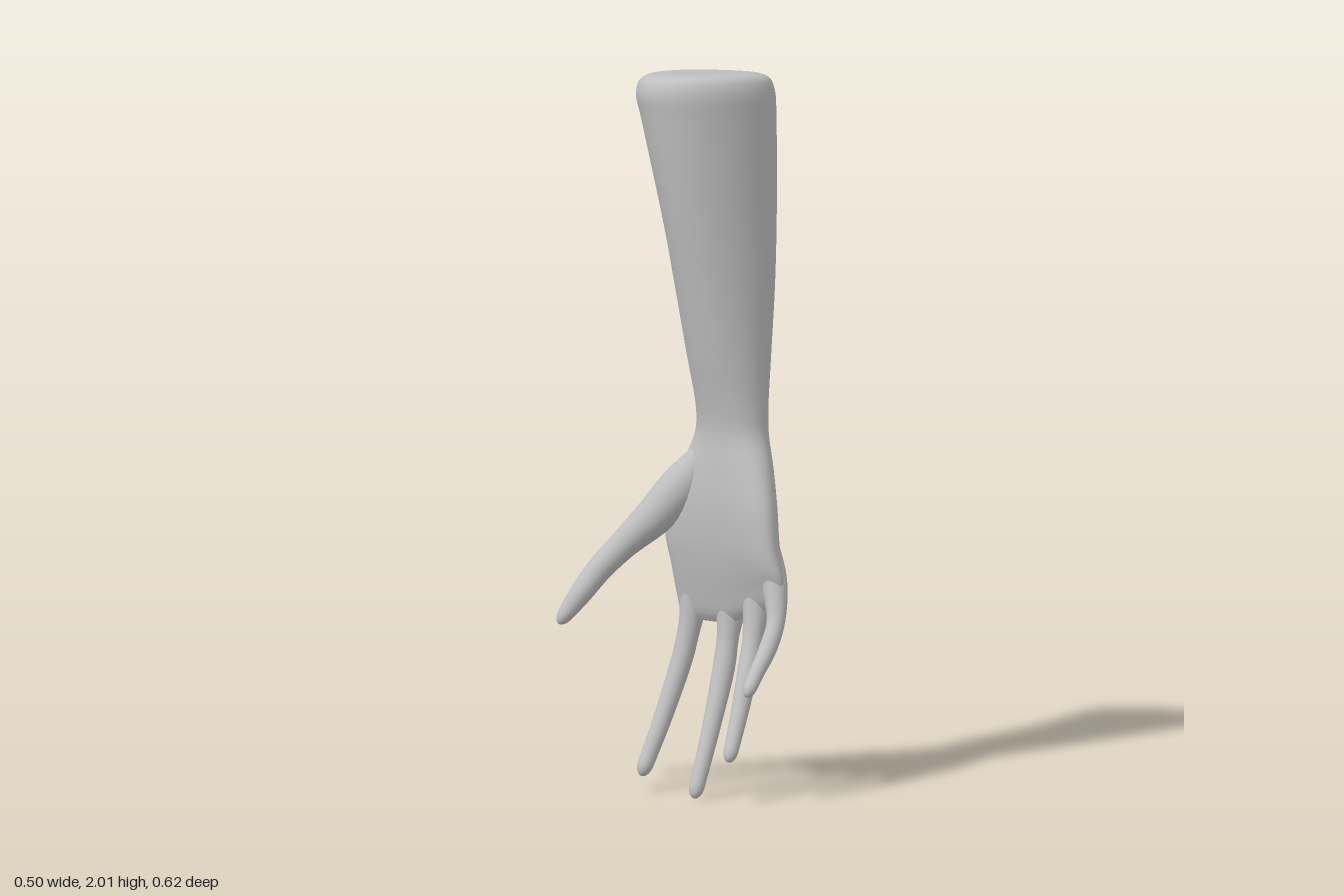
import * as THREE from 'three';

const SIDES = 40;
const V = (x, y, z) => new THREE.Vector3(x, y, z);

// Skin a list of rings (each an array of points) and close both ends
function loft(rings) {
  const n = rings[0].length, pos = [], idx = [];
  rings.forEach(r => r.forEach(p => pos.push(p.x, p.y, p.z)));
  for (let i = 0; i < rings.length - 1; i++) {
    for (let j = 0; j < n; j++) {
      const a = i * n + j, b = i * n + (j + 1) % n;
      idx.push(a, b, a + n, b, b + n, a + n);
    }
  }
  [0, rings.length - 1].forEach((ri, end) => {
    const c = rings[ri].reduce((s, p) => s.add(p), V(0, 0, 0)).divideScalar(n);
    const ci = pos.length / 3;
    pos.push(c.x, c.y, c.z);
    for (let j = 0; j < n; j++) {
      const a = ri * n + j, b = ri * n + (j + 1) % n;
      if (end) idx.push(a, b, ci); else idx.push(b, a, ci);
    }
  });
  const g = new THREE.BufferGeometry();
  g.setAttribute('position', new THREE.Float32BufferAttribute(pos, 3));
  g.setIndex(idx);
  g.computeVertexNormals();
  return g;
}

// Forearm and palm: sections [y, xMin, xMax, zMin, zMax, arch]
function armGeometry() {
  const sections = [
    [1.992, -0.02, 0.15, -0.14, 0.06, 0.02],
    [1.988, -0.09, 0.21, -0.195, 0.115, 0.035],
    [1.972, -0.12, 0.24, -0.218, 0.14, 0.04],
    [1.935, -0.133, 0.254, -0.226, 0.152, 0.04],
    [1.87, -0.127, 0.254, -0.21, 0.154, 0.04],
    [1.6, -0.088, 0.241, -0.148, 0.157, 0.03],
    [1.4, -0.054, 0.222, -0.115, 0.16, 0.02],
    [1.2, -0.02, 0.195, -0.082, 0.16, 0.01],
    [1.06, 0.007, 0.176, -0.058, 0.162, 0],
    [0.99, 0.012, 0.171, -0.06, 0.17, -0.005],
    [0.9, 0.0, 0.168, -0.09, 0.205, -0.02],
    [0.8, -0.01, 0.162, -0.128, 0.238, -0.035],
    [0.7, -0.008, 0.15, -0.13, 0.257, -0.04],
    [0.62, 0.002, 0.133, -0.113, 0.272, -0.035],
    [0.54, 0.018, 0.117, -0.1, 0.278, -0.03],
    [0.49, 0.03, 0.105, -0.09, 0.272, -0.025],
    [0.465, 0.045, 0.09, -0.07, 0.255, -0.02],
  ];
  const lo = new THREE.CatmullRomCurve3(sections.map(s => V(s[1], s[0], s[3])));
  const hi = new THREE.CatmullRomCurve3(sections.map(s => V(s[2], s[0], s[4])));
  const arch = new THREE.CatmullRomCurve3(sections.map(s => V(s[5], s[0], 0)));
  const rings = [], steps = (sections.length - 1) * 5;
  for (let i = 0; i <= steps; i++) {
    const t = i / steps, a = lo.getPoint(t), b = hi.getPoint(t), e = arch.getPoint(t).x;
    const top = THREE.MathUtils.smoothstep(a.y, 1.7, 1.95);
    const knuckles = 1 - THREE.MathUtils.smoothstep(a.y, 0.48, 0.68);
    const ring = [];
    for (let j = 0; j < SIDES; j++) {
      const th = j / SIDES * Math.PI * 2, c = Math.cos(th), s = Math.sin(th);
      const x = (a.x + b.x) / 2 + (b.x - a.x) / 2 * c + e * s * s;
      const z = (a.z + b.z) / 2 + (b.z - a.z) / 2 * s;
      // slanted cut at the top, knuckle line rising toward the little finger
      const y = a.y + top * 0.075 * ((z + 0.04) - (x - 0.06))
        + knuckles * 0.4 * Math.max(0, z - 0.08);
      ring.push(V(x, y, z));
    }
    rings.push(ring);
  }
  return loft(rings);
}

// Round-tipped digit through points [x, y, z, radius]
function digitGeometry(pts) {
  const path = new THREE.CatmullRomCurve3(pts.map(p => V(p[0], p[1], p[2])));
  const radii = new THREE.SplineCurve(pts.map((p, i) => new THREE.Vector2(i, p[3])));
  const len = path.getLength(), steps = 36, rings = [];
  for (let i = 0; i <= steps; i++) {
    const s = i / steps, u = 1 - (1 - s) ** 2;
    const t = path.getUtoTmapping(u), p = path.getPoint(t), T = path.getTangent(t);
    const r0 = radii.getPoint(t).y;
    const k = Math.max(0, 1 - (1 - u) * len / (1.7 * r0));
    const r = Math.max(0.001, r0 * Math.sqrt(1 - k * k));
    const e1 = T.clone().cross(V(0, 0, 1)).normalize(), e2 = T.clone().cross(e1);
    const ring = [];
    for (let j = 0; j < 24; j++) {
      const th = j / 24 * Math.PI * 2;
      ring.push(p.clone().addScaledVector(e1, r * Math.cos(th)).addScaledVector(e2, r * Math.sin(th)));
    }
    rings.push(ring);
  }
  return loft(rings);
}

const DIGITS = {
  littleFinger: [
    [0.06, 0.72, 0.2, 0.03], [0.05, 0.6, 0.238, 0.036], [0.015, 0.495, 0.273, 0.026],
    [-0.03, 0.425, 0.282, 0.025], [-0.085, 0.365, 0.288, 0.021], [-0.137, 0.305, 0.294, 0.018]],
  ringFinger: [
    [0.08, 0.7, 0.14, 0.035], [0.065, 0.56, 0.164, 0.041], [0.03, 0.44, 0.178, 0.029],
    [-0.005, 0.355, 0.19, 0.029], [-0.07, 0.23, 0.21, 0.024], [-0.135, 0.115, 0.228, 0.02]],
  middleFinger: [
    [0.085, 0.68, 0.06, 0.035], [0.073, 0.53, 0.066, 0.044], [0.05, 0.43, 0.072, 0.031],
    [0.025, 0.345, 0.078, 0.031], [-0.05, 0.17, 0.09, 0.025], [-0.13, 0.0, 0.1, 0.021]],
  indexFinger: [
    [0.08, 0.7, -0.03, 0.035], [0.065, 0.55, -0.052, 0.045], [0.045, 0.45, -0.06, 0.032],
    [0.025, 0.36, -0.07, 0.03], [-0.04, 0.2, -0.085, 0.026], [-0.118, 0.04, -0.1, 0.022]],
  thumb: [
    [0.07, 0.94, 0.0, 0.045], [0.03, 0.84, -0.07, 0.062], [-0.025, 0.75, -0.132, 0.054],
    [-0.08, 0.675, -0.192, 0.041], [-0.135, 0.61, -0.232, 0.036],
    [-0.187, 0.54, -0.262, 0.031], [-0.238, 0.46, -0.297, 0.02]],
};

export function createModel() {
  const group = new THREE.Group();
  group.name = 'arm';
  const skin = new THREE.MeshStandardMaterial({ color: 0xbfbfbf });
  skin.name = 'grey skin';
  const add = (name, geometry) => {
    const mesh = new THREE.Mesh(geometry, skin);
    mesh.name = name;
    group.add(mesh);
  };
  add('forearmAndPalm', armGeometry());
  for (const [name, pts] of Object.entries(DIGITS)) add(name, digitGeometry(pts));
  return group;
}
